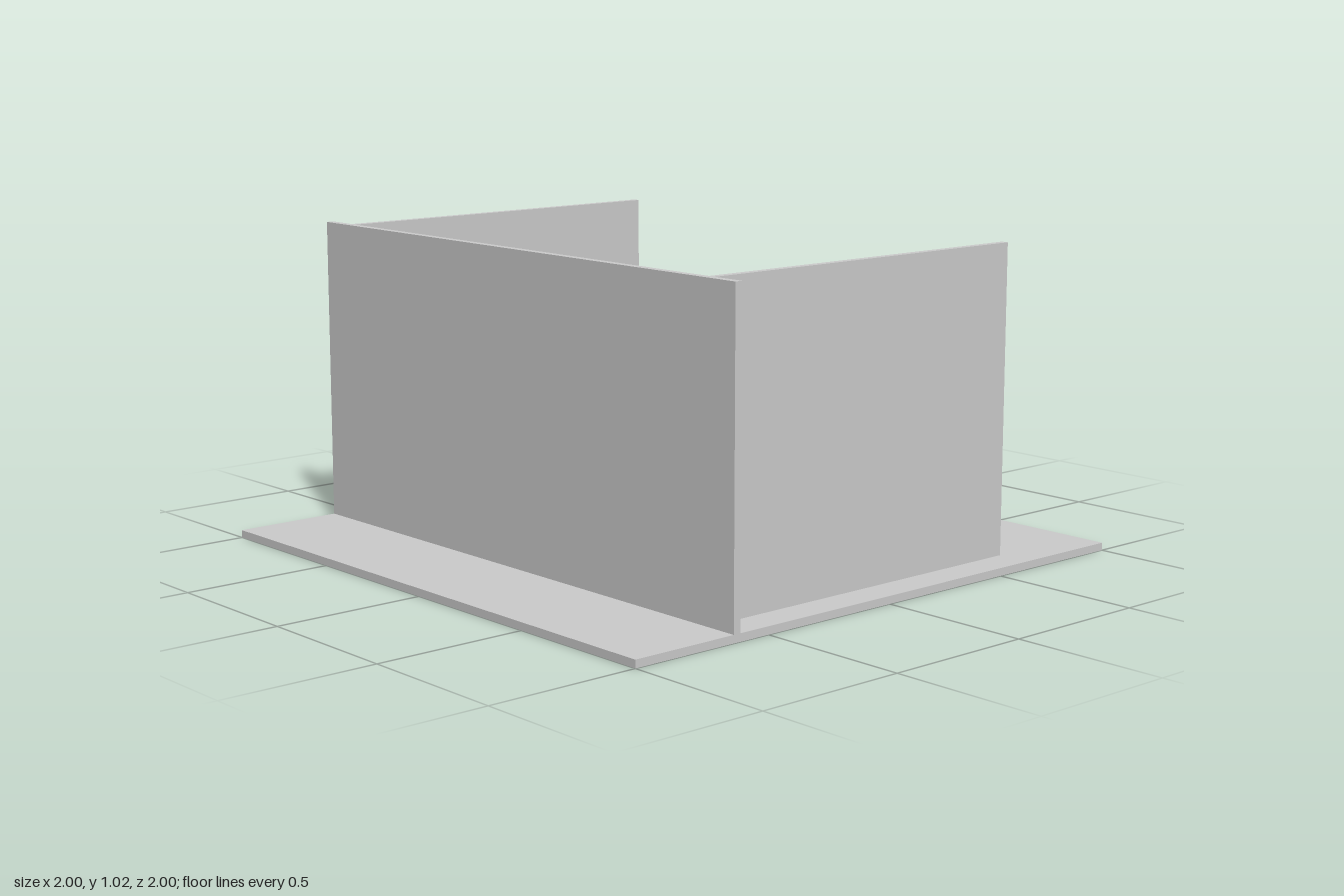
import * as THREE from 'three';

const grey = new THREE.MeshStandardMaterial({ color: 0xcccccc });
grey.name = 'plain grey';
const FLOOR = 0.025;

export function createModel() {
  const root = new THREE.Group();
  root.name = 'studioRoom';

  const group = (name, x = 0, z = 0) => {
    const g = new THREE.Group();
    g.name = name;
    g.position.set(x, FLOOR, z);
    root.add(g);
    return g;
  };
  const add = (parent, name, geometry) => {
    const m = new THREE.Mesh(geometry, grey);
    m.name = name;
    parent.add(m);
    return m;
  };
  // Box given by its lower and upper corners
  const box = (parent, name, a, b) => {
    const m = add(parent, name, new THREE.BoxGeometry(b[0] - a[0], b[1] - a[1], b[2] - a[2]));
    m.position.set((a[0] + b[0]) / 2, (a[1] + b[1]) / 2, (a[2] + b[2]) / 2);
    return m;
  };
  // Upright disc or post from y0 to y1
  const post = (parent, name, r, y0, y1, x = 0, z = 0) => {
    const m = add(parent, name, new THREE.CylinderGeometry(r, r, y1 - y0, 32));
    m.position.set(x, (y0 + y1) / 2, z);
    return m;
  };
  // Round bar between two points
  const bar = (parent, name, a, b, r0, r1 = r0) => {
    const p = new THREE.Vector3(...a), q = new THREE.Vector3(...b);
    const d = q.clone().sub(p);
    const m = add(parent, name, new THREE.CylinderGeometry(r1, r0, d.length(), 20));
    m.position.copy(p).add(q).multiplyScalar(0.5);
    m.quaternion.setFromUnitVectors(new THREE.Vector3(0, 1, 0), d.normalize());
    return m;
  };

  // Floor and walls
  box(root, 'floor', [-1, 0, -1], [1, FLOOR, 1]);
  box(root, 'mainWall', [-1, FLOOR, 0.61], [1, 1.025, 0.635]);
  for (const [name, x] of [['leftWall', 0.8775], ['rightWall', -0.8775]])
    box(root, name, [x - 0.0125, FLOOR, -0.625], [x + 0.0125, 1.025, 0.61]);

  // Bevelled pictures on the main wall: x0, x1, y0, y1
  const pictures = group('pictures');
  for (const [x0, x1, y0, y1] of [
    [0.35, 0.55, 0.42, 0.7], [0.01, 0.185, 0.43, 0.67],
    [-0.28, -0.13, 0.51, 0.7], [-0.59, -0.415, 0.43, 0.67],
  ]) {
    const m = box(pictures, 'picture', [x0, y0, 0.599], [x1, y1, 0.61]);
    const p = m.geometry.attributes.position;
    for (let i = 0; i < p.count; i++)
      if (p.getZ(i) < 0) p.setX(i, p.getX(i) - Math.sign(p.getX(i)) * 0.008);
    m.geometry.computeVertexNormals();
  }

  // Couch with a raised headrest
  const couch = group('couch');
  for (const x of [-0.11, 0.11])
    for (const z of [-0.2, 0.3]) post(couch, 'couchLeg', 0.01, 0, 0.13, x, z);
  box(couch, 'couchFrame', [-0.15, 0.125, -0.28], [0.145, 0.185, 0.37]);
  box(couch, 'mattress', [-0.14, 0.185, -0.255], [0.135, 0.22, 0.36]);
  const wedge = new THREE.Shape();
  wedge.moveTo(0.25, 0.215);
  wedge.lineTo(0.355, 0.265);
  wedge.lineTo(0.36, 0.25);
  wedge.lineTo(0.29, 0.215);
  const headrest = add(couch, 'headrest',
    new THREE.ExtrudeGeometry(wedge, { depth: 0.256, bevelEnabled: false }));
  headrest.rotation.y = -Math.PI / 2;
  headrest.position.x = 0.126;

  // Round stool
  const stool = group('stool', -0.3, -0.2);
  post(stool, 'stoolBase', 0.05, 0, 0.01);
  post(stool, 'stoolPost', 0.01, 0.01, 0.125);
  post(stool, 'stoolSeat', 0.055, 0.125, 0.147);

  // Tray table
  const table = group('trayTable', 0.3475, -0.0525);
  post(table, 'tableBase', 0.05, 0, 0.01);
  post(table, 'tablePost', 0.01, 0.01, 0.205);
  box(table, 'trayTop', [-0.0875, 0.203, -0.0625], [0.0875, 0.215, 0.0625]);

  // Tools on the tray
  const tools = group('tools');
  box(tools, 'powerBox', [0.355, 0.215, -0.04], [0.415, 0.245, 0]);
  const tip = [0.262, 0.3, -0.24], neck = [0.285, 0.287, -0.18];
  const grip = [0.315, 0.27, -0.1], tail = [0.345, 0.25, -0.02];
  bar(tools, 'needle', tip, neck, 0.002);
  bar(tools, 'handleGrip', neck, grip, 0.007);
  bar(tools, 'handleBody', grip, tail, 0.009);
  for (const [x, z] of [[0.3, -0.05], [0.325, -0.075], [0.345, -0.07]])
    post(tools, 'inkCup', 0.011, 0.215, 0.24, x, z);

  // Standing lamp with a tilted head
  const lamp = group('lamp');
  post(lamp, 'lampPost', 0.005, 0, 0.56, -0.455, 0.245);
  bar(lamp, 'lampArm', [-0.455, 0.557, 0.245], [-0.39, 0.595, 0.16], 0.003);
  bar(lamp, 'lampHead', [-0.39, 0.59, 0.16], [-0.415, 0.625, 0.09], 0.018);
  bar(lamp, 'lampRim', [-0.415, 0.625, 0.09], [-0.419, 0.631, 0.079], 0.019);

  return root;
}
